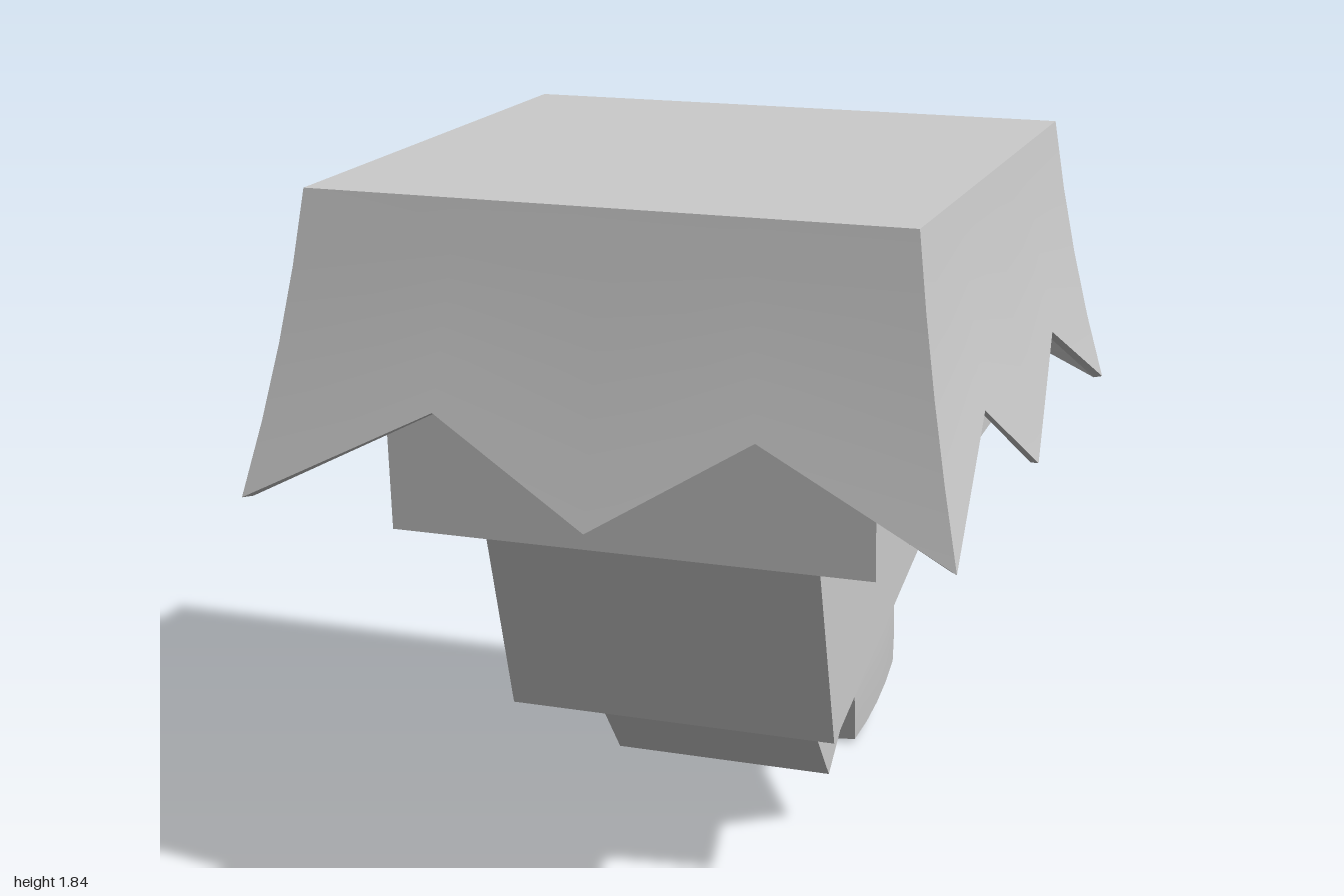
import * as THREE from 'three';
import { mergeGeometries, toCreasedNormals } from 'three/addons/utils/BufferGeometryUtils.js';

const material = new THREE.MeshStandardMaterial({ color: 0xcccccc });
const clothMaterial = new THREE.MeshStandardMaterial({ color: 0xcccccc, side: THREE.DoubleSide });

const TOP = 1.847, CENTRE_Z = 0.135;

function addMesh(parent, name, geometry, mat = material) {
  const mesh = new THREE.Mesh(geometry, mat);
  mesh.name = name;
  parent.add(mesh);
  return mesh;
}

// Move every vertex of a geometry by a rule
function reshape(geometry, rule) {
  const pos = geometry.attributes.position;
  const v = new THREE.Vector3();
  for (let i = 0; i < pos.count; i++) {
    rule(v.fromBufferAttribute(pos, i), i);
    pos.setXYZ(i, v.x, v.y, v.z);
  }
  geometry.computeVertexNormals();
  return geometry;
}

// One flared cloth side: rows run down the outside, round the hem and up the inside
function skirtSide(angle) {
  const across = [-1, -0.48, 0, 0.48, 1];
  const hem = [1.125, 1.36, 1.125, 1.36, 1.125];
  const rows = 5, thickness = 0.02;
  const side = reshape(new THREE.PlaneGeometry(1, 1, 4, rows * 2 - 1), (v, i) => {
    const column = i % 5, row = Math.floor(i / 5);
    const inside = row >= rows;
    const step = (inside ? rows * 2 - 1 - row : row) / (rows - 1);
    const y = TOP + (hem[column] - TOP) * step;
    const t = (TOP - y) / (TOP - 1.125);
    const half = 0.73 + 0.088 * t + 0.045 * t * t - (inside ? thickness : 0);
    v.set(across[column] * half, y, half);
  });
  return side.rotateY(angle);
}

// Body block whose bottom centre sits at (0, y, z), tilted about x
function addBlock(parent, name, width, height, depth, y, z, degrees) {
  const geometry = new THREE.BoxGeometry(width, height, depth).translate(0, height / 2, 0);
  const block = addMesh(parent, name, geometry);
  block.position.set(0, y, z);
  block.rotation.x = THREE.MathUtils.degToRad(degrees);
}

export function createModel() {
  const model = new THREE.Group();
  model.name = 'model';

  // Zigzag-hemmed cover with a flat top
  const cover = new THREE.Group();
  cover.name = 'cover';
  cover.position.z = CENTRE_Z;
  model.add(cover);
  const sides = [0, 1, 2, 3].map((k) => skirtSide(k * Math.PI / 2));
  addMesh(cover, 'coverSkirt', toCreasedNormals(mergeGeometries(sides), 0.5), clothMaterial);
  addMesh(cover, 'coverTop', new THREE.BoxGeometry(1.46, 0.02, 1.46)).position.y = TOP - 0.01;

  // Curling body, each block smaller and more tilted than the last
  addBlock(model, 'upperBody', 1.22, 0.75, 1.216, 1.0125, 0.1125, 2.6);
  addBlock(model, 'middleBody', 0.864, 0.6, 0.875, 0.5575, 0, 16.3);
  addBlock(model, 'lowerBody', 0.6, 0.55, 0.63, 0.35, -0.2475, 38.2);

  // Tapered stem from the lower body to the tail tip
  addMesh(model, 'tailStem', reshape(new THREE.BoxGeometry(1, 1, 1), (v) => {
    const front = v.z > 0, upper = v.y > 0;
    v.x *= front ? 0.345 : 0.255;
    v.y = front ? (upper ? 0.6 : 0.236) : (upper ? 0.385 : 0.09);
    v.z = front ? (upper ? -0.1 : -0.05) : -0.6;
  }));

  // Slightly bulging cube at the tail end
  const tip = addMesh(model, 'tailTip', reshape(new THREE.BoxGeometry(2, 2, 2, 4, 4, 4), (v) => {
    const [a, b, c] = [1 - v.x * v.x, 1 - v.y * v.y, 1 - v.z * v.z];
    const size = 0.217, bulge = 0.04;
    v.x *= size * (1 + bulge * (b + c));
    v.y *= size * (1 + bulge * (a + c));
    v.z *= size * (1 + bulge * (a + b));
  }));
  tip.position.set(0, 0.27, -0.735);
  tip.rotation.x = THREE.MathUtils.degToRad(11.5);

  return model;
}
